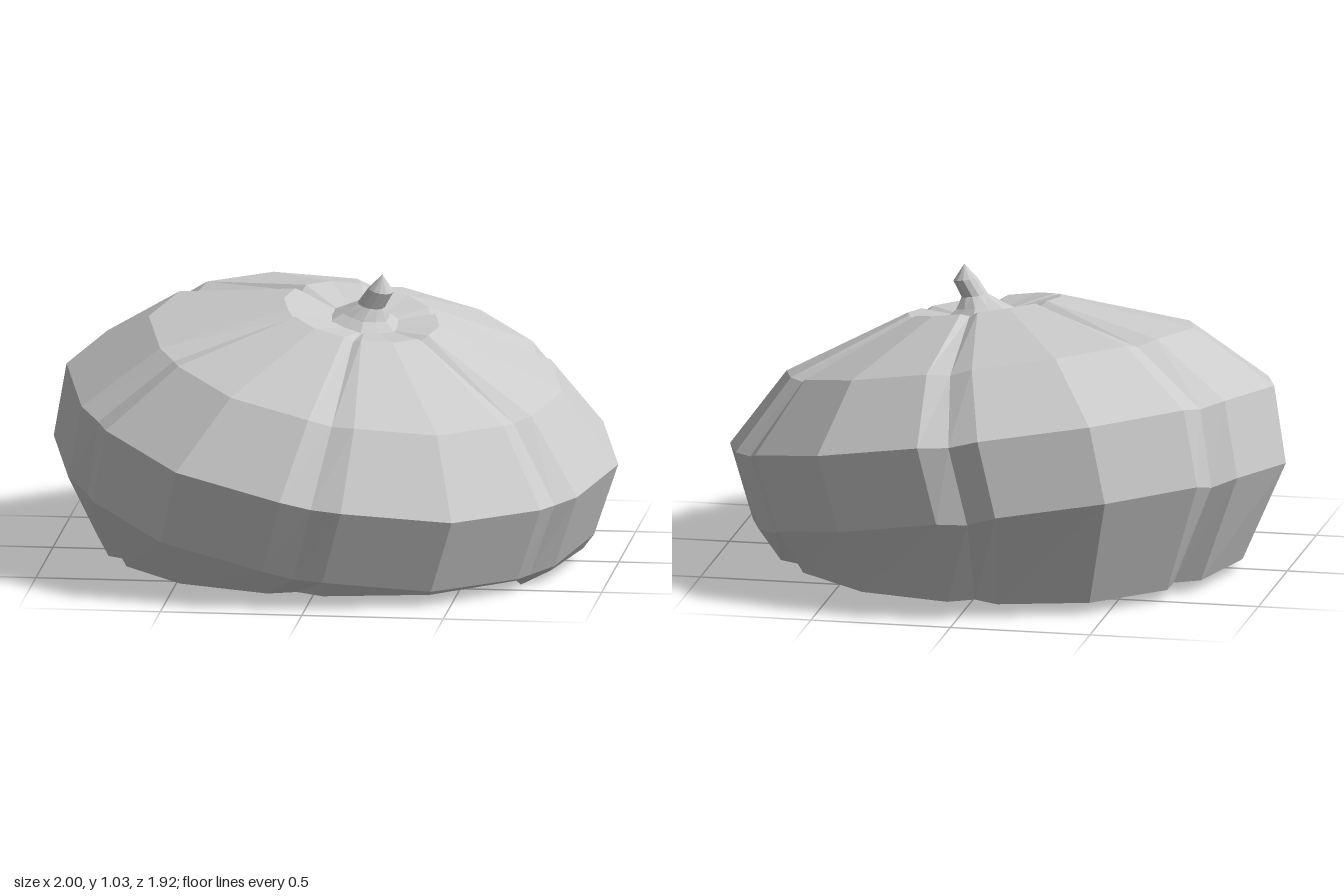
import * as THREE from 'three';

const SLOPE_X = -0.16, SLOPE_Z = -0.14; // lean of every ring

// Skin closed loops (listed from bottom to top) and close the last one to a point.
function skin(loops, apex, material, name) {
  const n = loops[0].length, pos = loops.flat().concat([apex]).flat(), index = [];
  for (let i = 0; i < loops.length - 1; i++) {
    for (let j = 0; j < n; j++) {
      const a = i * n + j, b = i * n + (j + 1) % n;
      index.push(a, a + n, b, b, a + n, b + n);
    }
  }
  const last = (loops.length - 1) * n, tip = loops.length * n;
  for (let j = 0; j < n; j++) index.push(last + j, tip, last + (j + 1) % n);
  const g = new THREE.BufferGeometry();
  g.setAttribute('position', new THREE.Float32BufferAttribute(pos, 3));
  g.setIndex(index);
  const flat = g.toNonIndexed();
  flat.computeVertexNormals();
  const mesh = new THREE.Mesh(flat, material);
  mesh.name = name;
  return mesh;
}

// One leaning ring of six lobes: groove, edge, middle, edge per lobe.
function lobedRing([cx, cy, cz, r, groove]) {
  const ring = [];
  for (let k = 0; k < 6; k++) {
    for (const [deg, f, dip] of [[0, 1, 0], [23.5, 0.98, 0], [30, 0.98 - groove, groove * 0.5], [36.5, 0.98, 0]]) {
      const a = THREE.MathUtils.degToRad(k * 60 + deg);
      const x = r * f * Math.cos(a), z = r * f * Math.sin(a);
      ring.push([cx + x, cy + SLOPE_X * x + SLOPE_Z * z - dip, cz + z]);
    }
  }
  return ring;
}

export function createModel() {
  const model = new THREE.Group();
  model.name = 'pumpkin';
  const material = new THREE.MeshStandardMaterial({
    color: 0xcccccc, flatShading: true, side: THREE.DoubleSide,
  });

  // Ribbed shell: [centre x, y, z, radius, groove depth]
  const rings = [
    [-0.045, 0.245, -0.025, 0.955, 0.035],
    [0.025, 0.51, 0.015, 0.975, 0.025],
    [0.075, 0.735, 0.05, 0.73, 0.03],
    [0.1, 0.89, 0.07, 0.275, 0.03],
    [0.11, 0.855, 0.07, 0.1, 0],
  ].map(lobedRing);

  // Open rim: the lower wall runs inward until it meets a level cut
  const rim = rings[0].map(([x, y, z], i) => {
    const d = Math.hypot(x, z), drop = Math.max(y - 0.04, 0.01);
    const lean = 0.6 - (SLOPE_X * x + SLOPE_Z * z) / d;
    const s = 1 - (drop * lean + (i % 4 === 2 ? 0.03 : 0)) / d;
    return [x * s, i === 2 ? 0 : Math.min(y, 0.04), z * s];
  });
  model.add(skin([rim, ...rings], [0.11, 0.85, 0.07], material, 'shell'));

  // Stem: flared wavy foot, narrow neck and a bent tip
  const stemLoops = [
    [0.11, 0.85, 0.065, 0.135, 0.06],
    [0.115, 0.885, 0.065, 0.085, 0.04],
    [0.135, 0.92, 0.075, 0.048, 0],
    [0.17, 0.975, 0.082, 0.044, 0],
  ].map(([cx, cy, cz, r, wave]) => {
    const loop = [];
    for (let j = 0; j < 12; j++) {
      const a = j / 12 * Math.PI * 2, q = r * (1 + (j % 2 ? wave : -wave));
      const x = q * Math.cos(a), z = q * Math.sin(a);
      loop.push([cx + x, cy + SLOPE_X * x + SLOPE_Z * z, cz + z]);
    }
    return loop;
  });
  model.add(skin(stemLoops, [0.175, 1.03, 0.085], material, 'stem'));

  return model;
}
